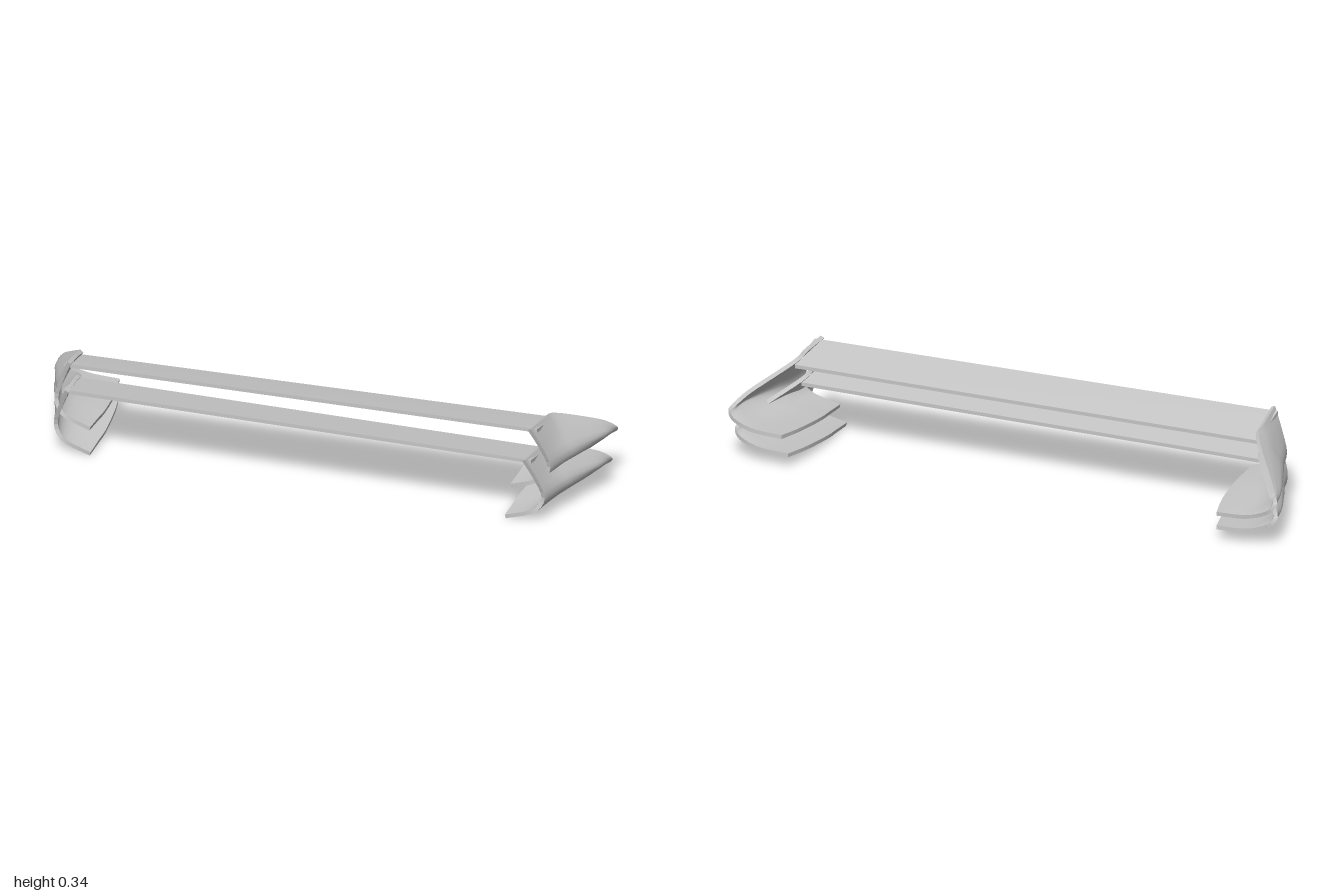
import * as THREE from 'three';
import { mergeGeometries } from 'three/addons/utils/BufferGeometryUtils.js';

const THICKNESS = 0.014;
const NU = 18, NV = 14;

// Shell sections from front to rear, each running from top edge to inner bottom lip
const SECTIONS = [
  [[.83, .243, .247], [.862, .17, .224], [.885, .09, .205], [.85, .033, .212], [.75, 0, .22]],
  [[.84, .238, .127], [.88, .168, .12], [.912, .097, .115], [.865, .037, .12], [.75, .009, .13]],
  [[.85, .225, .057], [.905, .165, .05], [.94, .10, .045], [.88, .042, .05], [.75, .016, .06]],
  [[.95, .158, -.083], [.975, .128, -.085], [.982, .095, -.085], [.91, .046, -.085], [.765, .03, -.08]],
  [[.985, .125, -.133], [1.0, .10, -.155], [.975, .07, -.176], [.90, .046, -.188], [.79, .04, -.19]],
];

function gridGeometry(points, flip) {
  const index = [];
  for (let i = 0; i < NU; i++) {
    for (let j = 0; j < NV; j++) {
      const a = i * (NV + 1) + j, b = a + 1, c = a + NV + 1, d = c + 1;
      if (flip) index.push(a, c, b, b, c, d);
      else index.push(a, b, c, b, d, c);
    }
  }
  const g = new THREE.BufferGeometry().setFromPoints(points);
  g.setIndex(index);
  g.computeVertexNormals();
  return g;
}

// Thin curved shell: outer skin, inner skin and a rim joining them
function shellGeometry(side) {
  const rows = SECTIONS.map(s => {
    const curve = new THREE.CatmullRomCurve3(
      s.map(([x, y, z]) => new THREE.Vector3(x * side, y, z)), false, 'catmullrom');
    return curve.getPoints(NV);
  });
  const columns = [];
  for (let j = 0; j <= NV; j++) {
    columns.push(new THREE.CatmullRomCurve3(rows.map(r => r[j]), false, 'catmullrom').getPoints(NU));
  }
  const outer = [];
  for (let i = 0; i <= NU; i++) for (let j = 0; j <= NV; j++) outer.push(columns[j][i]);

  const flip = side < 0;
  const skin = gridGeometry(outer, flip);
  const inner = outer.map((p, k) => p.clone().addScaledVector(
    new THREE.Vector3().fromBufferAttribute(skin.attributes.normal, k), -THICKNESS));
  const lining = gridGeometry(inner, !flip);

  // Perimeter loop around the grid
  const loop = [];
  const at = (i, j) => i * (NV + 1) + j;
  for (let j = 0; j < NV; j++) loop.push(at(0, j));
  for (let i = 0; i < NU; i++) loop.push(at(i, NV));
  for (let j = NV; j > 0; j--) loop.push(at(NU, j));
  for (let i = NU; i > 0; i--) loop.push(at(i, 0));
  const rimPoints = [];
  loop.forEach((a, k) => {
    const b = loop[(k + 1) % loop.length];
    const quad = [outer[a], inner[a], outer[b], outer[b], inner[a], inner[b]];
    if (flip) quad.reverse();
    rimPoints.push(...quad);
  });
  const rim = new THREE.BufferGeometry().setFromPoints(rimPoints);
  rim.computeVertexNormals();
  return mergeGeometries([skin.toNonIndexed(), lining.toNonIndexed(), rim]);
}

// Flat blade; each end gives the front and rear edges as [z, y] of the top face
function bladeGeometry(rightEnd, leftEnd) {
  const g = new THREE.BoxGeometry(1.69, 1, 1);
  const p = g.attributes.position;
  for (let i = 0; i < p.count; i++) {
    const end = p.getX(i) < 0 ? rightEnd : leftEnd;
    const [z, y] = p.getZ(i) > 0 ? end.front : end.rear;
    p.setY(i, y - (p.getY(i) < 0 ? 0.013 : 0));
    p.setZ(i, z);
  }
  g.computeVertexNormals();
  return g;
}

export function createModel() {
  const model = new THREE.Group();
  const grey = new THREE.MeshStandardMaterial({ color: 0xc6c6c6, side: THREE.DoubleSide });
  grey.name = 'light grey';

  const add = (name, geometry) => {
    const mesh = new THREE.Mesh(geometry, grey);
    mesh.name = name;
    model.add(mesh);
    return mesh;
  };

  // Crosswise blades
  add('upperBlade', bladeGeometry(
    { front: [.213, .327], rear: [.04, .286] },
    { front: [.172, .327], rear: [0, .298] }));
  add('lowerBlade', bladeGeometry(
    { front: [.232, .238], rear: [.06, .209] },
    { front: [.232, .238], rear: [.06, .209] }));

  // Curled end shells, lower pair and upper pair
  const left = shellGeometry(1), right = shellGeometry(-1);
  add('lowerLeftShell', left);
  add('lowerRightShell', right);
  add('upperLeftShell', left).position.set(0, .09, -.057);
  const upperRight = add('upperRightShell', right);
  upperRight.position.set(0, .071, .005);
  upperRight.rotation.x = -.11;

  return model;
}
